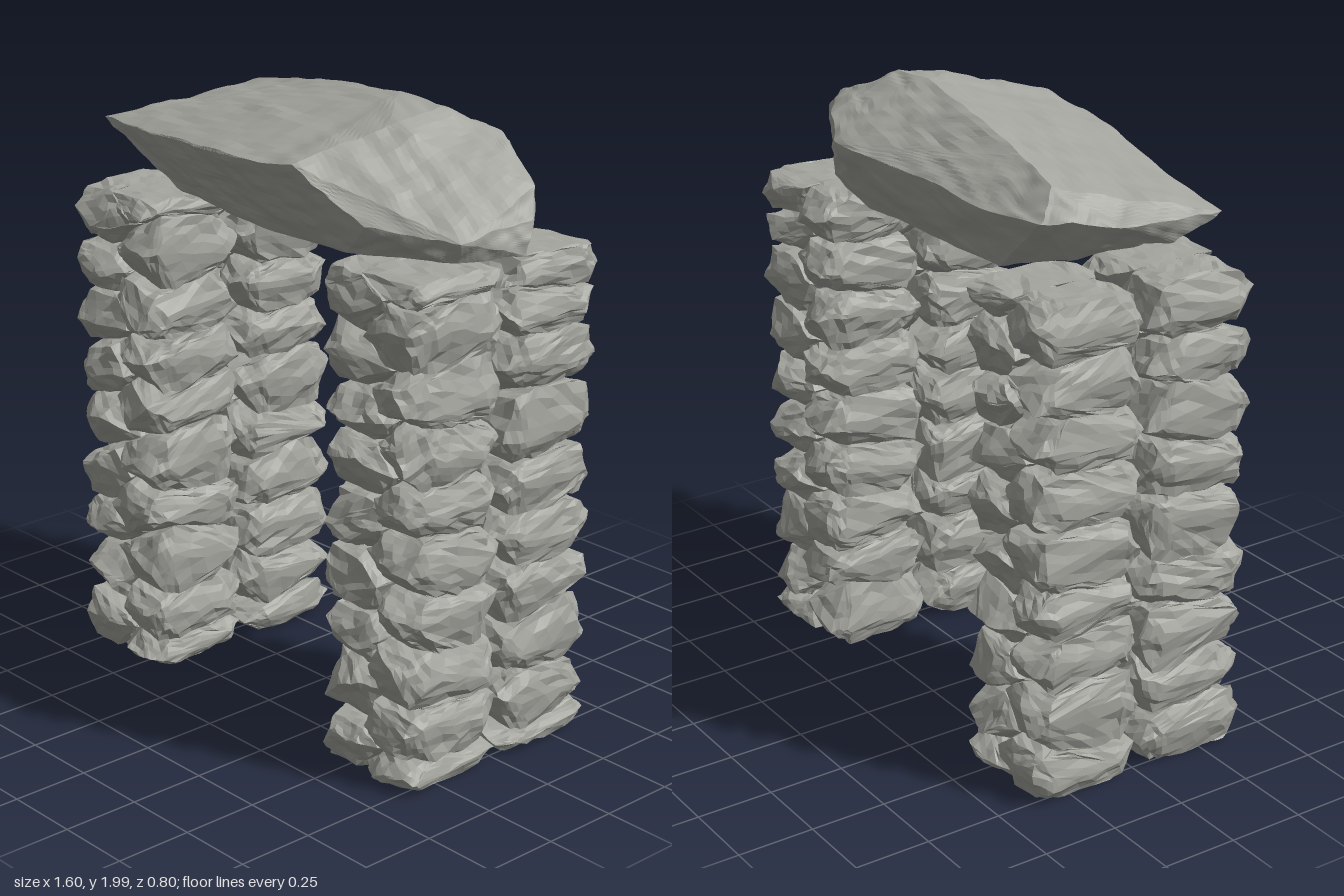
import * as THREE from 'three';
import { ConvexGeometry } from 'three/addons/geometries/ConvexGeometry.js';

const material = new THREE.MeshStandardMaterial({ color: 0xa6a6a0, flatShading: true });

// Seeded random numbers
let seed = 7;
const rand = () => {
  seed = (seed * 1664525 + 1013904223) % 4294967296;
  return seed / 4294967296;
};
const jitter = (a) => (rand() * 2 - 1) * a;

// Smooth pseudo-noise, roughly -1..1
function noise(x, y, z) {
  return (Math.sin(x * 1.0 + 2.1 * Math.sin(y * 0.9 + z * 0.4)) +
    Math.sin(y * 1.3 + 1.7 * Math.sin(z * 1.1 - x * 0.5)) +
    Math.sin(z * 1.2 + 1.9 * Math.sin(x * 0.8 + y * 0.6))) / 3;
}

// Convex rock, subdivided and roughened, kept inside a bounding box
function rock(points, levels, amount, stretch, box) {
  let tris = [];
  const pos = new ConvexGeometry(points).attributes.position;
  for (let i = 0; i < pos.count; i++) tris.push(new THREE.Vector3().fromBufferAttribute(pos, i));
  for (let l = 0; l < levels; l++) {
    const next = [];
    for (let i = 0; i < tris.length; i += 3) {
      const [a, b, c] = [tris[i], tris[i + 1], tris[i + 2]];
      const ab = a.clone().lerp(b, 0.5), bc = b.clone().lerp(c, 0.5), ca = c.clone().lerp(a, 0.5);
      next.push(a, ab, ca, ab, b, bc, ca, bc, c, ab, bc, ca);
    }
    tris = next;
  }
  const out = tris.map((p) => {
    const [x, y, z] = [p.x * stretch.x, p.y * stretch.y, p.z * stretch.z];
    const rough = (k) => noise(x + k, y, z) * 0.65 + noise(x * 2.7, y * 2.7 + k, z * 2.7) * 0.35;
    return new THREE.Vector3(p.x + rough(0) * amount, p.y + rough(11) * amount, p.z + rough(23) * amount)
      .clamp(box.min, box.max);
  });
  const geometry = new THREE.BufferGeometry().setFromPoints(out);
  geometry.computeVertexNormals();
  return new THREE.Mesh(geometry, material);
}

// Pillar: two interlocking stacks of lens-shaped stones, 0.4 x 1.6 x 0.4
function createPillar(cx, cz) {
  const group = new THREE.Group();
  const rows = 9, h = 1.6 / rows;
  const box = new THREE.Box3(
    new THREE.Vector3(cx - 0.2, 0, cz - 0.198), new THREE.Vector3(cx + 0.2, 1.6, cz + 0.198));

  // Joints alternate between the stacks, so the seam zigzags; they tilt along z
  const joints = [];
  for (let k = 0; k <= rows * 2; k++) {
    const end = k === 0 || k === rows * 2;
    const y = k * h / 2;
    joints.push({
      seamX: (k % 2 ? 0.035 : -0.035) + jitter(0.025),
      seamY: y + (end ? 0 : jitter(0.025)),
      outerY: y + (end ? 0 : jitter(0.03)),
      tilt: end ? 0 : jitter(0.2),
    });
  }

  const addStone = (side, from, to) => {
    const a = joints[from], b = joints[to];
    const midY = (a.outerY + b.outerY + a.seamY + b.seamY) / 4;
    const height = (b.outerY - a.outerY + b.seamY - a.seamY) / 2;
    const points = [];
    const add = (x, y, z) => points.push(new THREE.Vector3(cx + x, y, cz + z));
    for (const s of [-1, 1]) {
      // Thick core, then a shrunken outline nearer the outer face
      for (const [depth, scale] of [[0.07, 1], [0.14, 0.84]]) {
        const z = s * (depth + jitter(0.025));
        const ring = (x, y) => add(x, midY + (y - midY) * scale, z);
        for (const j of [a, b]) ring(side * (0.172 + jitter(0.012)), j.outerY + j.tilt * z);
        for (let k = from; k <= to; k++) ring(joints[k].seamX, joints[k].seamY);
      }
      // Horizontal ridge around the side
      add(side * 0.203, midY + jitter(height * 0.2), s * (0.13 + jitter(0.03)));
      // Slanted ridge on the outer face
      add(side * 0.17, midY + jitter(height * 0.25), s * (0.192 + jitter(0.01)));
      add(side * 0.04, midY + jitter(height * 0.28), s * (0.18 + jitter(0.02)));
      add(side * (0.1 + jitter(0.04)), midY + jitter(height * 0.3), s * 0.203);
    }
    const stone = rock(points, 2, 0.013, new THREE.Vector3(40, 52, 40), box);
    stone.name = 'pillarStone';
    group.add(stone);
  };

  for (let i = 0; i < rows; i++) addStone(-1, i * 2, i * 2 + 2);
  addStone(1, 0, 1);
  for (let i = 0; i < rows - 1; i++) addStone(1, i * 2 + 1, i * 2 + 3);
  addStone(1, rows * 2 - 1, rows * 2);
  return group;
}

// Capstone: one long slab with a pointed left end and a broken right end
function createCapstone() {
  const corners = [
    // flat underside
    [-0.45, 1.6, 0.2], [0.1, 1.6, 0.3], [0.4, 1.6, 0.28], [0.7, 1.6, 0.12],
    [0.79, 1.6, -0.08], [0.6, 1.6, -0.22], [0.25, 1.6, -0.3], [-0.4, 1.6, -0.26],
    // front rim
    [-0.8, 1.79, 0.24], [-0.4, 1.8, 0.31], [-0.1, 1.82, 0.37], [0.1, 1.84, 0.4], [0.28, 1.86, 0.39],
    // right end
    [0.5, 1.7, 0.31], [0.72, 1.67, 0.13], [0.775, 1.71, -0.1], [0.74, 1.79, -0.15], [0.6, 1.87, -0.2],
    // back rim
    [0.42, 1.87, -0.33], [0.28, 1.83, -0.4], [0.28, 1.73, -0.365], [0, 1.82, -0.37], [-0.45, 1.8, -0.325],
    // left end
    [-0.63, 1.8, -0.28], [-0.74, 1.78, -0.06], [-0.75, 1.71, 0.1], [-0.6, 1.66, -0.15],
    // top crest
    [-0.58, 1.88, -0.2], [-0.4, 1.92, -0.18], [-0.05, 1.97, -0.14], [0.22, 2, -0.1],
    [0.4, 1.98, -0.1], [0.37, 1.945, 0.1],
  ];
  const box = new THREE.Box3(new THREE.Vector3(-0.8, 1.602, -0.4), new THREE.Vector3(0.79, 2, 0.4));
  const points = corners.map((p) => new THREE.Vector3(...p));
  const cap = rock(points, 4, 0.012, new THREE.Vector3(12, 24, 18), box);
  cap.name = 'capstone';
  return cap;
}

export function createModel() {
  const model = new THREE.Group();
  model.name = 'stoneArch';
  for (const x of [-1, 1]) {
    for (const z of [-1, 1]) {
      const pillar = createPillar(x * 0.6, z * 0.2);
      pillar.name = (z > 0 ? 'front' : 'back') + (x > 0 ? 'Left' : 'Right') + 'Pillar';
      model.add(pillar);
    }
  }
  model.add(createCapstone());
  return model;
}
